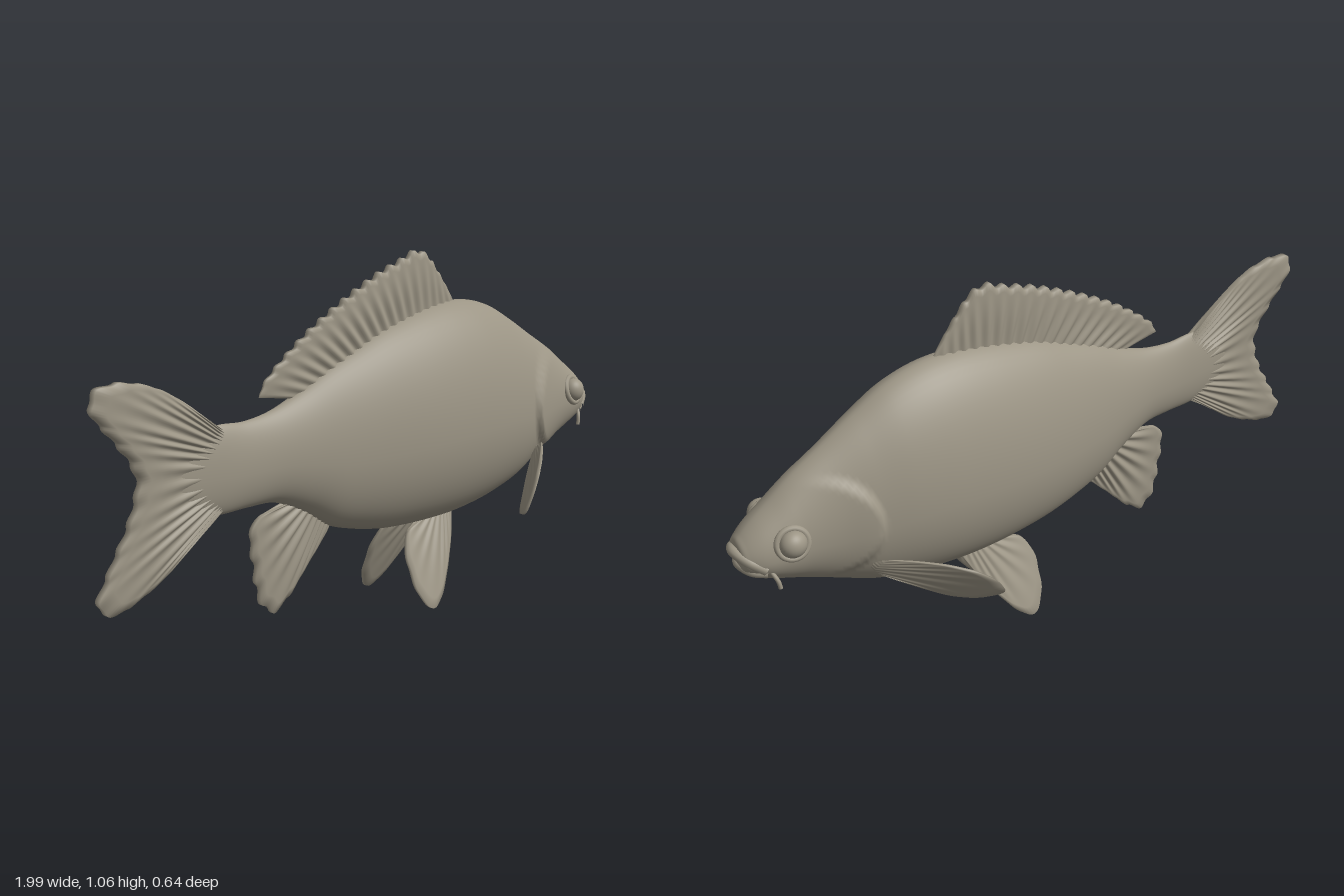
import * as THREE from 'three';

const skin = new THREE.MeshStandardMaterial({ color: 0x9c9585 });
skin.name = 'olive grey skin';

const V = (x, y, z = 0) => new THREE.Vector3(x, y, z);
const spline = (pts) => new THREE.CatmullRomCurve3(pts.map((p) => V(...p)));

// Smooth skin over rings of points; every ring is closed on itself
function skinRings(rings) {
  const n = rings[0].length, pos = [], idx = [];
  rings.forEach((r) => r.forEach((p) => pos.push(p.x, p.y, p.z)));
  for (let i = 0; i < rings.length - 1; i++) {
    for (let j = 0; j < n; j++) {
      const a = i * n + j, b = i * n + ((j + 1) % n);
      idx.push(a, a + n, b, b, a + n, b + n);
    }
  }
  const geo = new THREE.BufferGeometry();
  geo.setAttribute('position', new THREE.Float32BufferAttribute(pos, 3));
  geo.setIndex(idx);
  geo.computeVertexNormals();
  return geo;
}

// Body stations: x, back height, belly height, half width
const STATIONS = [
  [-0.78, 0.60, 0.53, 0.008], [-0.7, 0.66, 0.46, 0.02], [-0.6, 0.683, 0.437, 0.032],
  [-0.5, 0.677, 0.435, 0.042], [-0.4, 0.69, 0.427, 0.055], [-0.3, 0.725, 0.38, 0.075],
  [-0.2, 0.772, 0.315, 0.098], [-0.1, 0.812, 0.28, 0.12], [0, 0.85, 0.257, 0.14],
  [0.1, 0.876, 0.246, 0.156], [0.2, 0.895, 0.24, 0.166], [0.3, 0.904, 0.24, 0.17],
  [0.4, 0.898, 0.248, 0.168], [0.5, 0.87, 0.264, 0.157], [0.6, 0.817, 0.288, 0.136],
  [0.7, 0.757, 0.333, 0.112], [0.8, 0.697, 0.38, 0.099], [0.87, 0.645, 0.41, 0.09],
  [0.92, 0.608, 0.432, 0.079], [0.955, 0.577, 0.456, 0.061], [0.972, 0.555, 0.475, 0.042],
  [0.975, 0.512, 0.508, 0.002],
];

function bodyGeometry() {
  const heights = new THREE.CatmullRomCurve3(STATIONS.map((s) => V(s[0], s[1], s[2])), false, 'catmullrom');
  const widths = new THREE.CatmullRomCurve3(STATIONS.map((s) => V(s[3], 0)), false, 'catmullrom');
  const rings = [], steps = 210, sides = 64;
  for (let i = 0; i <= steps; i++) {
    const h = heights.getPoint(i / steps), w = widths.getPoint(i / steps).x;
    const x = h.x, top = h.y, low = h.z, mid = low + (top - low) * 0.43;
    const ring = [];
    for (let j = 0; j < sides; j++) {
      const a = (j / sides) * Math.PI * 2, s = Math.sin(a), c = Math.cos(a);
      const y = mid + s * (s > 0 ? top - mid : mid - low);
      let z = Math.sign(c) * Math.pow(Math.abs(c), s > 0 ? 1.15 : 1) * w;
      // gill cover: a raised round plate with a sharp rear rim
      const d = Math.hypot(x - 0.755, (y - 0.54) * 1.02);
      const lift = (1 - THREE.MathUtils.smoothstep(d, 0.142, 0.16)) * (1 - THREE.MathUtils.smoothstep(x, 0.62, 0.82));
      z += Math.sign(c) * Math.min(1, Math.abs(c) * 2) * 0.018 * lift;
      ring.push(V(x, y, z));
    }
    rings.push(ring);
  }
  return skinRings(rings);
}

// Ribbed fin lofted from a root line to a rim line; lean(x, y) gives its z
function finGeometry({ root, rim, thick, rays, rag = 0.03, rib = 0.3, lean = () => 0 }) {
  const a = spline(root), b = spline(rim), nu = rays * 8, nv = 10, rings = [];
  for (let i = 0; i <= nu; i++) {
    const u = i / nu, p = a.getPointAt(u), q = b.getPointAt(u);
    const wave = Math.cos(u * rays * Math.PI * 2);
    const edge = Math.pow(Math.max(0, Math.sin(Math.PI * u)), 0.35);
    const front = [], back = [];
    for (let j = 0; j <= nv; j++) {
      const v = j / nv;
      const o = p.clone().lerp(q, v * (1 - rag * (0.5 - 0.5 * wave) * edge));
      const t = thick * edge * (1 - 0.5 * v * v) * (1 + rib * wave * Math.sin(Math.PI * Math.min(1, v + 0.1)));
      const z = lean(o.x, o.y);
      front.push(V(o.x, o.y, z + t));
      back.unshift(V(o.x, o.y, z - t));
    }
    rings.push([...front, ...back]);
  }
  return skinRings(rings);
}

const DORSAL = {
  root: [[-0.28, 0.70], [-0.1, 0.78], [0.15, 0.86], [0.36, 0.87]],
  rim: [[-0.445, 0.732], [-0.43, 0.765], [-0.31, 0.86], [-0.17, 0.94], [0.01, 1.02], [0.12, 1.055],
    [0.17, 1.072], [0.215, 1.06], [0.275, 0.995], [0.34, 0.91]],
  thick: 0.018, rays: 19, rag: 0.08,
};
const TAIL = {
  root: [[-0.56, 0.46], [-0.54, 0.56], [-0.56, 0.66]],
  rim: [[-0.6, 0.44], [-0.675, 0.39], [-0.77, 0.32], [-0.875, 0.27], [-0.955, 0.25], [-1, 0.275],
    [-0.955, 0.37], [-0.89, 0.48], [-0.86, 0.58], [-0.875, 0.63], [-0.925, 0.70], [-0.99, 0.785],
    [-0.99, 0.83], [-0.94, 0.85], [-0.82, 0.83], [-0.71, 0.77], [-0.6, 0.683]],
  thick: 0.022, rays: 22, rag: 0.03, rib: 0.2,
};
const ANAL = {
  root: [[-0.17, 0.34], [-0.25, 0.39], [-0.33, 0.43]],
  rim: [[-0.19, 0.30], [-0.285, 0.205], [-0.355, 0.135], [-0.42, 0.102], [-0.46, 0.15], [-0.48, 0.26],
    [-0.488, 0.345], [-0.47, 0.388], [-0.36, 0.412]],
  thick: 0.016, rays: 10, rag: 0.05,
};
const PELVIC = {
  root: [[0.3, 0.27], [0.25, 0.28], [0.2, 0.27]],
  rim: [[0.305, 0.25], [0.275, 0.19], [0.235, 0.125], [0.17, 0.04], [0.12, 0.005], [0.08, 0.035],
    [0.062, 0.13], [0.07, 0.19], [0.1, 0.235], [0.18, 0.255]],
  thick: 0.013, rays: 8, rag: 0.02, rib: 0.2,
  lean: (x, y) => 0.045 + 0.4 * (0.24 - y),
};
const PECTORAL = {
  root: [[0.61, 0.36], [0.635, 0.39], [0.62, 0.425]],
  rim: [[0.58, 0.345], [0.515, 0.303], [0.435, 0.268], [0.37, 0.272], [0.338, 0.305], [0.38, 0.367],
    [0.46, 0.41], [0.54, 0.428], [0.61, 0.433]],
  thick: 0.012, rays: 9, rag: 0.01, rib: 0.15,
  lean: (x, y) => 0.435 - 0.81 * x + 0.49 * y,
};

export function createModel() {
  const fish = new THREE.Group();
  fish.name = 'fish';
  const add = (name, geo, parent = fish) => {
    const mesh = new THREE.Mesh(geo, skin);
    mesh.name = name;
    parent.add(mesh);
    return mesh;
  };

  add('body', bodyGeometry());
  add('dorsalFin', finGeometry(DORSAL));
  add('tailFin', finGeometry(TAIL));
  add('analFin', finGeometry(ANAL));

  // Lips: curved rolls around the mouth slit
  const lip = (pts, r) => new THREE.TubeGeometry(spline(pts), 32, r, 12);
  add('upperLip', lip([[0.92, 0.485, -0.066], [0.958, 0.515, -0.045], [0.977, 0.531, 0],
    [0.958, 0.515, 0.045], [0.92, 0.485, 0.066]], 0.016));
  add('lowerLip', lip([[0.915, 0.47, -0.06], [0.95, 0.478, -0.04], [0.966, 0.485, 0],
    [0.95, 0.478, 0.04], [0.915, 0.47, 0.06]], 0.015));

  // Paired parts, built once and mirrored in z
  const pelvic = finGeometry(PELVIC), pectoral = finGeometry(PECTORAL);
  const ball = new THREE.SphereGeometry(1, 28, 20);
  const socket = new THREE.TorusGeometry(0.042, 0.009, 10, 32);
  const barbel = lip([[0.91, 0.475, 0.07], [0.9, 0.45, 0.082], [0.895, 0.425, 0.084]], 0.006);
  for (const [side, sign] of [['near', 1], ['far', -1]]) {
    const half = new THREE.Group();
    half.name = side + 'SideParts';
    half.scale.z = sign;
    add('pelvicFin', pelvic, half);
    add('pectoralFin', pectoral, half);
    add('barbel', barbel, half);
    const eye = add('eye', ball, half);
    eye.position.set(0.85, 0.553, 0.092);
    eye.scale.set(0.038, 0.038, 0.034);
    const rim = add('eyeSocket', socket, half);
    rim.position.set(0.85, 0.553, 0.089);
    rim.rotation.set(-0.3, 0.2, 0);
    fish.add(half);
  }
  return fish;
}
